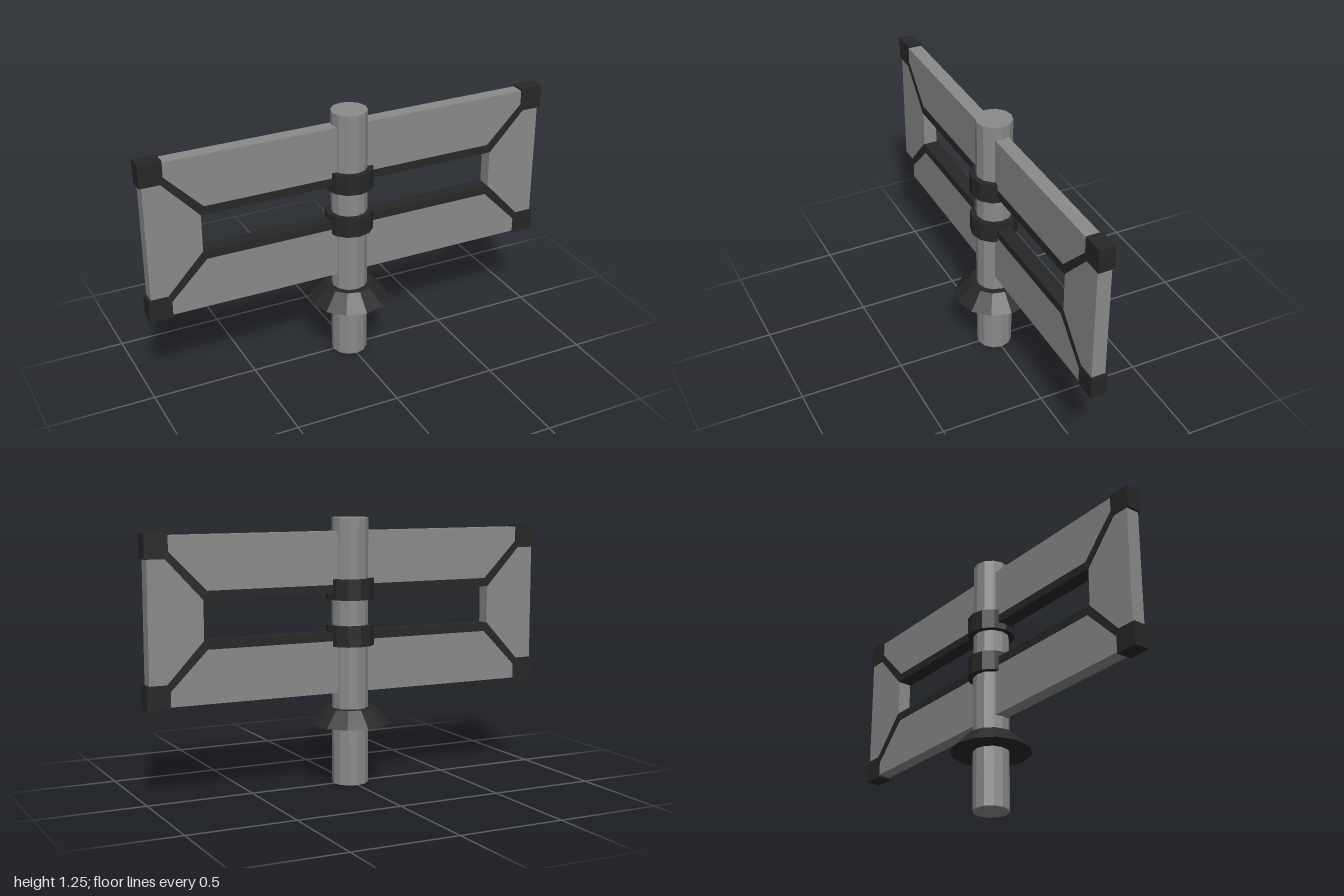
import * as THREE from 'three';

const grey = new THREE.MeshStandardMaterial({ color: 0x8a8a8a, flatShading: true });
const dark = new THREE.MeshStandardMaterial({ color: 0x272727, flatShading: true });
const MID = 0.813; // height of the frame's centre line

export function createModel() {
  const model = new THREE.Group();
  model.name = 'framedPost';

  const add = (name, geometry, material, x = 0, y = 0, z = 0) => {
    const mesh = new THREE.Mesh(geometry, material);
    mesh.name = name;
    mesh.position.set(x, y, z);
    model.add(mesh);
  };

  // Twelve-sided turned part between two heights
  const turned = (name, rTop, rBottom, y0, y1, material) =>
    add(name, new THREE.CylinderGeometry(rTop, rBottom, y1 - y0, 12), material, 0, (y0 + y1) / 2);

  // Flat outline extruded evenly about z = 0
  const slab = (shape, half) =>
    new THREE.ExtrudeGeometry(shape, { depth: half * 2, bevelEnabled: false }).translate(0, 0, -half);

  const rectangle = (w, h) => [[-w, -h], [w, -h], [w, h], [-w, h]].map(([x, y]) => new THREE.Vector2(x, MID + y));

  // Post with its skirt
  turned('post', 0.085, 0.085, 0, 1.25, grey);
  turned('skirt', 0.117, 0.191, 0.285, 0.362, dark);

  // Panel with a long slot
  const panel = new THREE.Shape(rectangle(0.988, 0.375));
  panel.holes.push(new THREE.Path(rectangle(0.733, 0.092).reverse()));
  add('panel', slab(panel, 0.033), grey);

  // Trim along the slot, running out diagonally to the corners
  const half = [[0.733, 0.09], [0.92, 0.29], [0.905, 0.32], [0.717, 0.13]];
  const left = half.map(([x, y]) => [-x, y]).reverse();

  for (const side of [1, -1]) {
    const place = side > 0 ? 'upper' : 'lower';
    const outline = [...half, ...left].map(([x, y]) => new THREE.Vector2(x, MID + side * y));
    add(place + 'Trim', slab(new THREE.Shape(outline), 0.036), dark);

    // Collar clamping the trim to the post
    const y = MID + side * 0.108;
    turned(place + 'Collar', 0.112, 0.112, y - 0.048, y + 0.048, dark);

    // Corner blocks
    for (const x of [1, -1]) {
      add(place + (x > 0 ? 'Left' : 'Right') + 'Corner',
        new THREE.BoxGeometry(0.108, 0.11, 0.075), dark, x * 0.946, MID + side * 0.33);
    }
  }

  return model;
}
